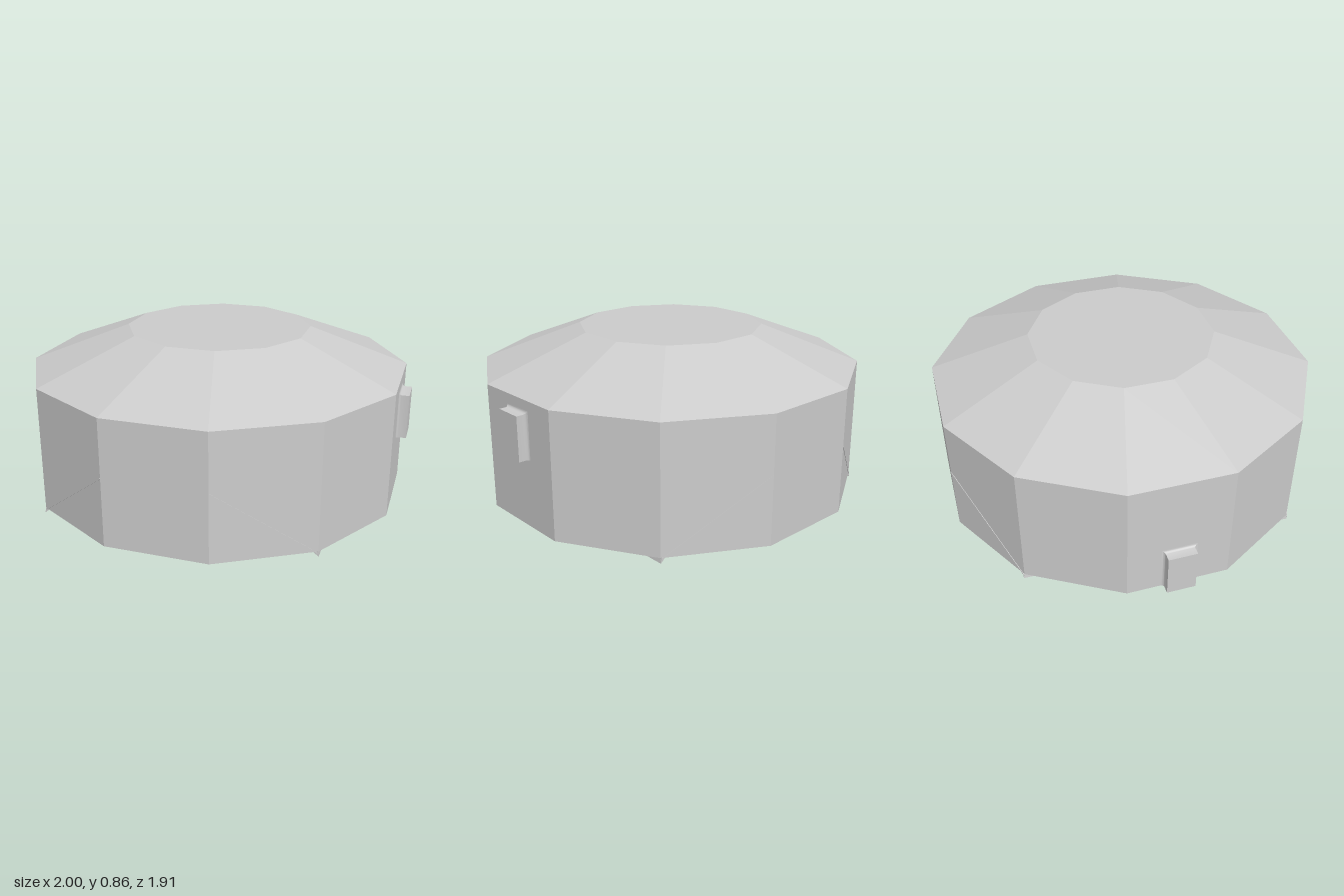
import * as THREE from 'three';
import { toCreasedNormals } from 'three/addons/utils/BufferGeometryUtils.js';

const material = new THREE.MeshStandardMaterial({ color: 0xcccccc });
const flat = new THREE.MeshStandardMaterial({ color: 0xcccccc, flatShading: true });

const APOTHEM = 0.95, RADIUS = APOTHEM / Math.cos(Math.PI / 12);
const BASE = 0.025, EAVE = 0.66, TOP = 0.855;

function part(name, geometry, mat = material) {
  const mesh = new THREE.Mesh(geometry, mat);
  mesh.name = name;
  return mesh;
}

// Block growing out along +x, with concave fillets on its sides and top
function mountGeometry(bottom, top) {
  const r = 0.016, steps = 5, half = 0.072;
  const rings = [];
  for (let i = 0; i <= steps; i++) {
    const a = (i / steps) * Math.PI / 2;
    rings.push([APOTHEM + r * (1 - Math.cos(a)), r * (1 - Math.sin(a))]);
  }
  rings.push([1, 0]);
  const points = [], index = [];
  for (const [x, flare] of rings) {
    const w = half + flare, t = top + flare;
    points.push(x, bottom, w, x, bottom, -w, x, t, -w, x, t, w);
  }
  for (let i = 0; i < rings.length - 1; i++) {
    for (let j = 0; j < 4; j++) {
      const a = i * 4 + j, b = i * 4 + (j + 1) % 4;
      index.push(a, b, b + 4, a, b + 4, a + 4);
    }
  }
  const e = (rings.length - 1) * 4;
  index.push(e, e + 1, e + 2, e, e + 2, e + 3);
  const geo = new THREE.BufferGeometry();
  geo.setAttribute('position', new THREE.Float32BufferAttribute(points, 3));
  geo.setIndex(index);
  return toCreasedNormals(geo, 0.6);
}

// Triangular runner under a corner, lying along z
function runnerGeometry(side) {
  const shape = new THREE.Shape([
    new THREE.Vector2(0.698 * side, 0),
    new THREE.Vector2(0.694 * side, BASE + 0.004),
    new THREE.Vector2(0.664 * side, BASE + 0.004),
  ]);
  return new THREE.ExtrudeGeometry(shape, { depth: 0.255, bevelEnabled: false });
}

export function createModel() {
  const group = new THREE.Group();

  // Twelve-sided drum with a sloped roof and a flat top
  const profile = [
    [0, BASE], [RADIUS, BASE], [RADIUS, EAVE], [0.475, TOP], [0, TOP],
  ].map(([x, y]) => new THREE.Vector2(x, y));
  group.add(part('drumBody', new THREE.LatheGeometry(profile, 12, Math.PI / 12), flat));

  // Mounts on the two sides, high on the left and low on the right
  group.add(part('leftMount', mountGeometry(0.372, 0.595)));
  const rightMount = part('rightMount', mountGeometry(BASE, 0.25));
  rightMount.rotation.y = Math.PI;
  group.add(rightMount);

  // Runner and nearly flush diagonal brace at each of four corners
  for (const sx of [1, -1]) {
    for (const sz of [1, -1]) {
      const runner = part('cornerRunner', runnerGeometry(sx));
      runner.position.z = sz > 0 ? 0.445 : -0.7;
      group.add(runner);

      const foot = new THREE.Vector3(0.695 * sx, 0.015, 0.695 * sz);
      const head = new THREE.Vector3(0.2545 * sx, 0.37, 0.949 * sz);
      const along = head.clone().sub(foot);
      const outward = new THREE.Vector3(0.5 * sx, 0, Math.sqrt(0.75) * sz);
      const dir = along.clone().normalize();
      const across = new THREE.Vector3().crossVectors(dir, outward);
      const brace = part('diagonalBrace', new THREE.BoxGeometry(0.006, along.length(), 0.006));
      brace.quaternion.setFromRotationMatrix(new THREE.Matrix4().makeBasis(across, dir, outward));
      brace.position.copy(foot).add(head).multiplyScalar(0.5);
      group.add(brace);
    }
  }
  return group;
}
